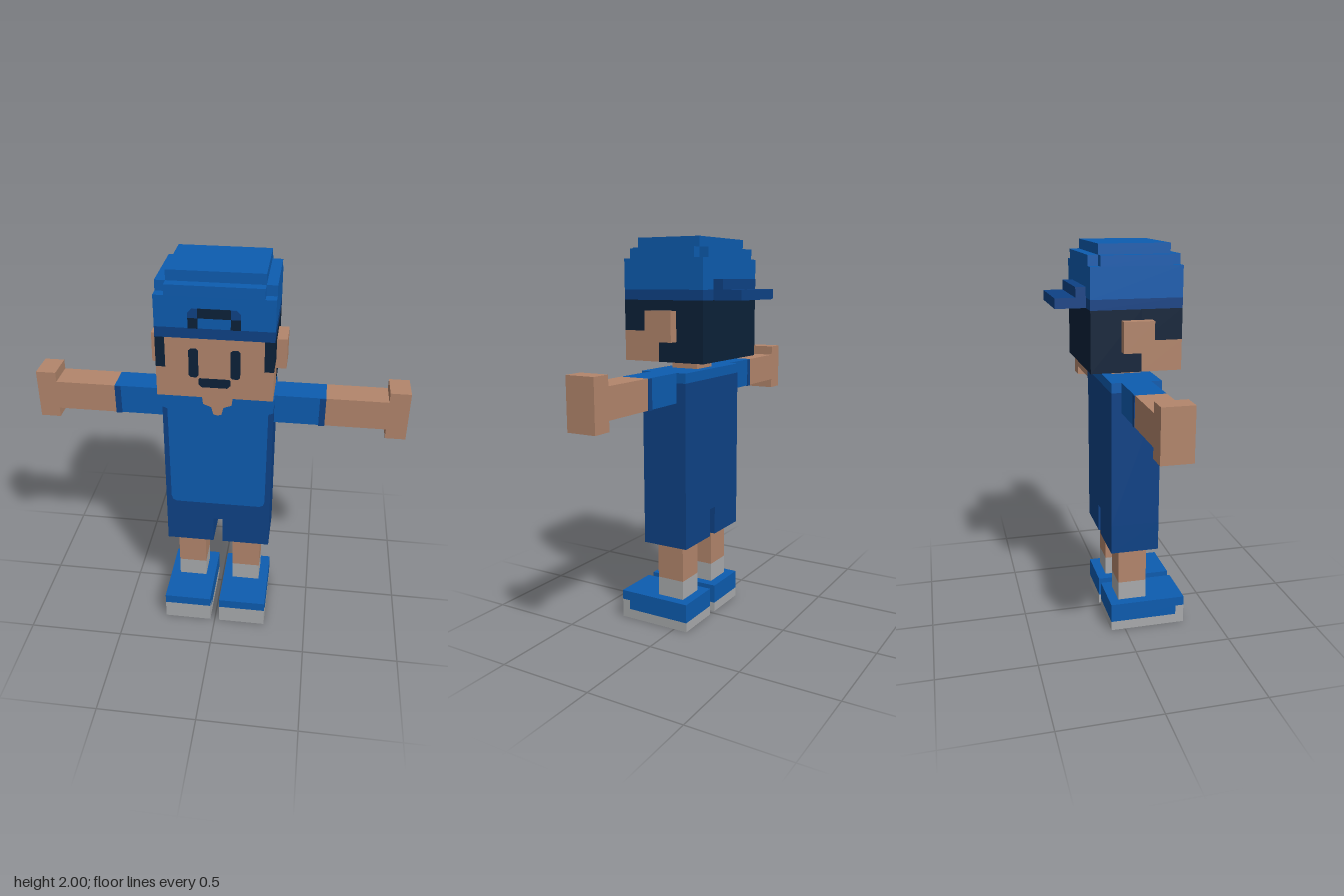
import * as THREE from 'three';

export function createModel() {
  const model = new THREE.Group();
  model.name = 'blockFigure';

  const material = (name, color) => {
    const m = new THREE.MeshStandardMaterial({ color });
    m.name = name;
    return m;
  };
  const skin = material('skin', 0xb3866c);
  const blue = material('blue', 0x0d5cb0);
  const darkBlue = material('darkBlue', 0x0e4286);
  const navy = material('navy', 0x0b2139);
  const grey = material('grey', 0xa9abad);

  const group = (name) => {
    const g = new THREE.Group();
    g.name = name;
    model.add(g);
    return g;
  };

  // Box given by its limits on each axis
  const box = (parent, name, mat, [x0, x1], [y0, y1], [z0, z1]) => {
    const mesh = new THREE.Mesh(new THREE.BoxGeometry(x1 - x0, y1 - y0, z1 - z0), mat);
    mesh.position.set((x0 + x1) / 2, (y0 + y1) / 2, (z0 + z1) / 2);
    mesh.name = name;
    parent.add(mesh);
  };
  const mirrored = (parent, name, mat, [x0, x1], y, z) => {
    box(parent, name + 'Left', mat, [x0, x1], y, z);
    box(parent, name + 'Right', mat, [-x1, -x0], y, z);
  };

  // Thin painted plate lying on a front face at depth z
  const plate = (parent, name, mat, points, z) => {
    const shape = new THREE.Shape(points.map(([x, y]) => new THREE.Vector2(x, y)));
    const geometry = new THREE.ExtrudeGeometry(shape, { depth: 0.004, bevelEnabled: false });
    const mesh = new THREE.Mesh(geometry, mat);
    mesh.position.z = z;
    mesh.name = name;
    parent.add(mesh);
  };
  // Rectangle outline with clipped bottom (b) and top (t) corners
  const clipped = (x0, x1, y0, y1, b, t) => [
    [x0 + b, y0], [x1 - b, y0], [x1, y0 + b], [x1, y1 - t],
    [x1 - t, y1], [x0 + t, y1], [x0, y1 - t], [x0, y0 + b],
  ];

  const limbZ = [-0.025, 0.125];
  const torsoZ = [-0.075, 0.175];
  const headX = [-0.275, 0.275];
  const headZ = [-0.175, 0.275];

  // Head: face, hair and ears
  const head = group('head');
  box(head, 'lowerFace', skin, headX, [1.4, 1.55], [0.075, 0.275]);
  box(head, 'upperFace', skin, [-0.23, 0.23], [1.55, 1.7], [0.075, 0.275]);
  mirrored(head, 'sideHair', navy, [0.23, 0.275], [1.55, 1.7], [0.075, 0.275]);
  box(head, 'backHair', navy, headX, [1.4, 1.7], [-0.175, 0.075]);
  mirrored(head, 'ear', skin, [0.275, 0.325], [1.5, 1.65], limbZ);
  for (const [side, x] of [['left', 0.075], ['right', -0.12]]) {
    plate(head, side + 'Eye', navy, clipped(x, x + 0.045, 1.505, 1.65, 0.01, 0.01), 0.275);
  }
  plate(head, 'mouth', navy, clipped(-0.075, 0.075, 1.455, 1.5, 0.015, 0.006), 0.275);

  // Backward cap with a stepped crown
  const cap = group('cap');
  box(cap, 'capBand', darkBlue, headX, [1.7, 1.75], headZ);
  box(cap, 'capCrown', blue, headX, [1.75, 1.9], headZ);
  box(cap, 'capStepWide', blue, headX, [1.9, 1.95], [-0.125, 0.225]);
  box(cap, 'capStepFront', blue, [-0.225, 0.225], [1.9, 1.95], [0.225, 0.275]);
  box(cap, 'capStepBack', blue, [-0.225, 0.225], [1.9, 1.95], [-0.175, -0.125]);
  box(cap, 'capTop', blue, [-0.225, 0.225], [1.95, 2], [-0.125, 0.225]);
  box(cap, 'capBrim', darkBlue, [-0.175, 0.175], [1.7, 1.75], [-0.325, -0.175]);
  box(cap, 'capBrimStep', darkBlue, [-0.175, 0.175], [1.75, 1.8], [-0.225, -0.175]);

  // Strap opening on the front of the cap
  const strapZ = [0.275, 0.279];
  box(cap, 'strapTop', navy, [-0.075, 0.075], [1.8, 1.845], strapZ);
  mirrored(cap, 'strapEnd', navy, [0.075, 0.12], [1.75, 1.8], strapZ);
  for (const s of [1, -1]) {
    const corner = [[0.075, 1.8], [0.12, 1.8], [0.12, 1.825], [0.1, 1.845], [0.075, 1.845]];
    plate(cap, s > 0 ? 'strapCornerLeft' : 'strapCornerRight', darkBlue,
      corner.map(([x, y]) => [s * x, y]), 0.275);
  }

  // Torso, shirt front and shorts
  const body = group('body');
  box(body, 'neck', skin, [-0.075, 0.075], [1.35, 1.4], limbZ);
  box(body, 'shoulders', blue, headX, [1.3, 1.35], torsoZ);
  box(body, 'torso', darkBlue, headX, [0.6, 1.3], torsoZ);
  mirrored(body, 'shortsLeg', darkBlue, [0.025, 0.275], [0.45, 0.6], torsoZ);
  plate(body, 'shirtFront', blue, [
    [-0.22, 0.705], [0.22, 0.705], [0.24, 0.715], [0.247, 0.74], [0.25, 1.27],
    [0.275, 1.28], [0.275, 1.35], [-0.275, 1.35], [-0.275, 1.28], [-0.25, 1.27],
    [-0.247, 0.74], [-0.24, 0.715],
  ], 0.175);
  plate(body, 'neckline', skin, [
    [-0.075, 1.35], [-0.07, 1.31], [-0.03, 1.295], [-0.02, 1.255], [0, 1.25],
    [0.02, 1.255], [0.03, 1.295], [0.07, 1.31], [0.075, 1.35],
  ], 0.179);

  // Arms with sleeves, dark cuffs and hands
  const arms = group('arms');
  mirrored(arms, 'sleeve', blue, [0.275, 0.525], [1.2, 1.35], limbZ);
  mirrored(arms, 'cuff', darkBlue, [0.495, 0.525], [1.197, 1.348], [-0.028, 0.128]);
  mirrored(arms, 'forearm', skin, [0.525, 0.825], [1.2, 1.35], limbZ);
  mirrored(arms, 'hand', skin, [0.825, 0.925], [1.15, 1.4], limbZ);

  // Legs, socks and shoes
  const legs = group('legs');
  const shoeX = [0.025, 0.275];
  mirrored(legs, 'leg', skin, [0.075, 0.225], [0.25, 0.45], limbZ);
  mirrored(legs, 'sock', grey, [0.075, 0.225], [0.15, 0.25], limbZ);
  mirrored(legs, 'shoeTop', blue, shoeX, [0.1, 0.15], [-0.075, 0.325]);
  mirrored(legs, 'shoeSide', blue, shoeX, [0.05, 0.1], [-0.075, 0.28]);
  mirrored(legs, 'shoeToe', grey, shoeX, [0.05, 0.1], [0.28, 0.325]);
  mirrored(legs, 'sole', grey, shoeX, [0, 0.05], [-0.075, 0.325]);

  return model;
}
